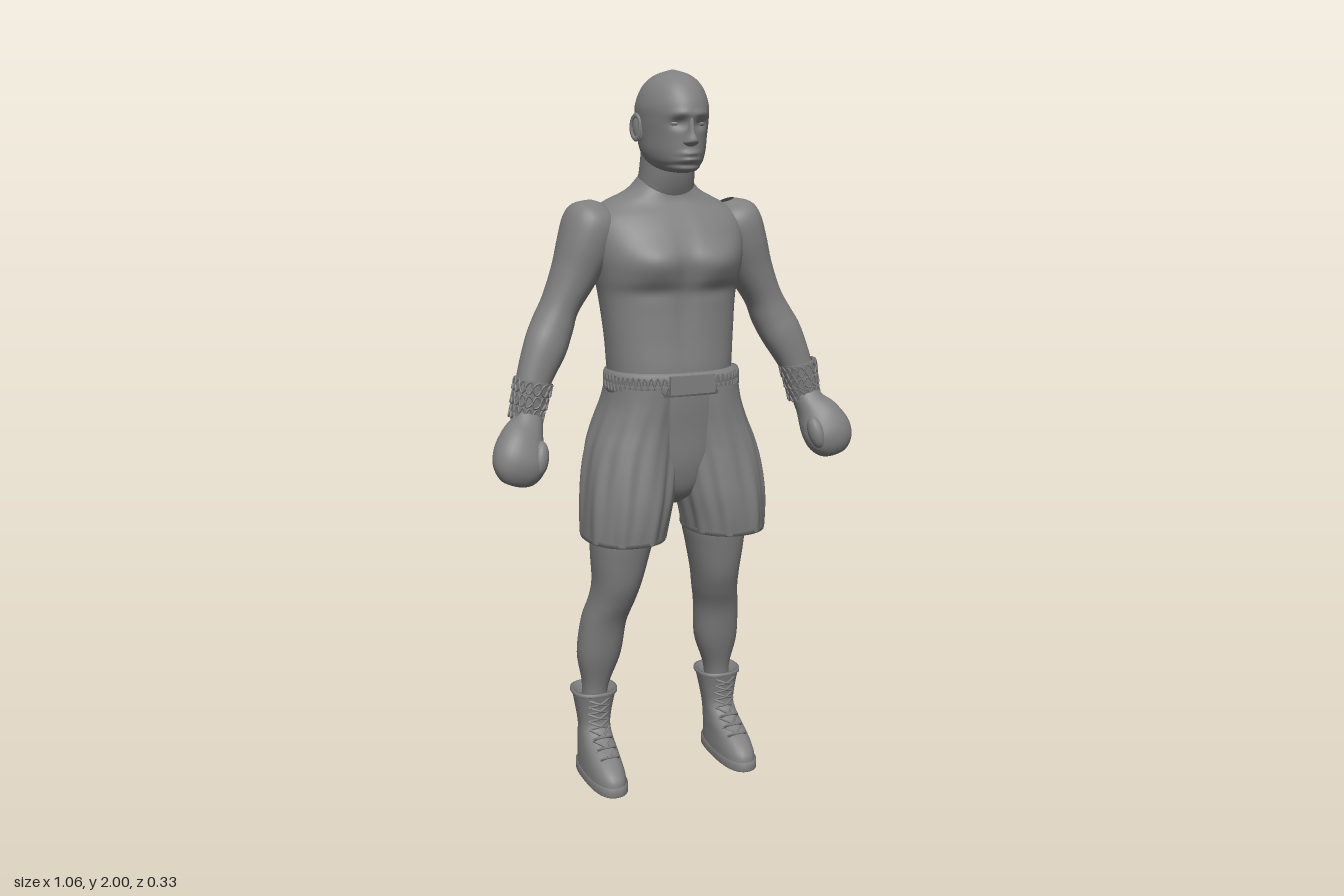
import * as THREE from 'three';

const grey = new THREE.MeshStandardMaterial({ color: 0x808080, side: THREE.DoubleSide });
grey.name = 'grey';

const bump = (v, c, w) => Math.exp(-(((v - c) / w) ** 2));
const spow = (v, n) => Math.sign(v) * Math.abs(v) ** (2 / n);

// Smooth blend through the rows of a ring table
function sample(rings, t) {
  const last = rings.length - 1, i = Math.min(Math.floor(t), last - 1), f = t - i;
  const at = (k) => rings[Math.max(0, Math.min(last, k))];
  const [a, b, c, d] = [at(i - 1), at(i), at(i + 1), at(i + 2)];
  return b.map((p, k) => p + 0.5 * f * (c[k] - a[k] + f * (2 * a[k] - 5 * p + 4 * c[k] - d[k]
    + f * (3 * (p - c[k]) + d[k] - a[k]))));
}

// Skin over rings listed bottom to top: [y, centre x, centre z, half width, front z, back z]
function loft(rings, { seg = 32, steps = 5, n = 2.2, tilt = false, shape = null } = {}) {
  const pos = [], idx = [], rows = (rings.length - 1) * steps;
  for (let r = 0; r <= rows; r++) {
    const t = r / steps, [y, cx, cz, rx, zf, zb] = sample(rings, t);
    let ux = 1, uy = 0;
    if (tilt) {
      const a = sample(rings, Math.max(0, t - 0.3)), b = sample(rings, Math.min(rings.length - 1, t + 0.3));
      const l = Math.hypot(b[0] - a[0], b[1] - a[1]);
      ux = (b[0] - a[0]) / l;
      uy = -(b[1] - a[1]) / l;
    }
    for (let s = 0; s < seg; s++) {
      const th = (s / seg) * Math.PI * 2, u = rx * spow(Math.cos(th), n), sn = spow(Math.sin(th), n);
      const p = new THREE.Vector3(cx + u * ux, y + u * uy, cz + sn * (sn > 0 ? zf - cz : cz - zb));
      if (shape) shape(p, th, cx, cz);
      pos.push(p.x, p.y, p.z);
      if (r < rows) {
        const a = r * seg + s, b = r * seg + ((s + 1) % seg);
        idx.push(a, a + seg, b, b, a + seg, b + seg);
      }
    }
  }
  const g = new THREE.BufferGeometry();
  g.setAttribute('position', new THREE.Float32BufferAttribute(pos, 3));
  g.setIndex(idx);
  g.computeVertexNormals();
  return g;
}

function ellipsoid(x, y, z, rx, ry, rz, rot = [0, 0, 0]) {
  return new THREE.SphereGeometry(1, 20, 14).scale(rx, ry, rz)
    .rotateX(rot[0]).rotateY(rot[1]).rotateZ(rot[2]).translate(x, y, z);
}

function cord(points, r, closed = false) {
  const c = new THREE.CatmullRomCurve3(points.map((p) => new THREE.Vector3(...p)), closed);
  return new THREE.TubeGeometry(c, points.length * 3, r, 5, closed);
}

// Wavy cord running round a band
function weave(rx, zf, zb, y, amp, waves, phase, r) {
  const pts = [], cz = (zf + zb) / 2, rz = (zf - zb) / 2;
  for (let i = 0; i < waves * 4; i++) {
    const th = (i / (waves * 4)) * Math.PI * 2;
    pts.push([rx * spow(Math.cos(th), 2.3), y + amp * Math.sin((i * Math.PI) / 2 + phase), cz + rz * spow(Math.sin(th), 2.3)]);
  }
  return cord(pts, r, true);
}

export function createModel() {
  const model = new THREE.Group();
  model.name = 'boxer';
  const add = (name, geo) => {
    const m = new THREE.Mesh(geo, grey);
    m.name = name;
    model.add(m);
  };
  const pair = (name, geo) => {
    add(name + 'Left', geo);
    const g = geo.clone().scale(-1, 1, 1), a = g.index.array;
    for (let i = 0; i < a.length; i += 3) [a[i], a[i + 1]] = [a[i + 1], a[i]];
    g.computeVertexNormals();
    add(name + 'Right', g);
  };

  // Torso with chest muscles, belly line and spine groove
  add('torso', loft([
    [1.12, 0, -0.01, 0.165, 0.12, -0.11], [1.2, 0, -0.01, 0.175, 0.13, -0.11], [1.3, 0, -0.01, 0.182, 0.122, -0.122],
    [1.4, 0, -0.02, 0.192, 0.118, -0.142], [1.46, 0, -0.02, 0.203, 0.128, -0.152], [1.52, 0, -0.03, 0.215, 0.13, -0.16],
    [1.58, 0, -0.04, 0.222, 0.102, -0.164], [1.62, 0, -0.05, 0.212, 0.075, -0.16], [1.655, 0, -0.055, 0.17, 0.045, -0.145],
    [1.69, 0, -0.05, 0.1, 0.035, -0.122], [1.73, 0, -0.04, 0.065, 0.03, -0.1],
  ], {
    seg: 64, steps: 7, n: 2.35, shape: (p) => {
      const ax = Math.abs(p.x);
      if (p.z > 0.02) {
        p.z += 0.02 * bump(ax, 0.09, 0.07) * bump(p.y, 1.5, 0.05) - 0.01 * bump(ax, 0, 0.02) * bump(p.y, 1.45, 0.15);
        p.z -= 0.006 * bump(p.y, 1.425, 0.02) * bump(ax, 0.09, 0.08);
      } else if (p.z < -0.06) {
        p.z += 0.022 * bump(ax, 0, 0.035) * bump(p.y, 1.38, 0.25) - 0.008 * bump(ax, 0.11, 0.05) * bump(p.y, 1.56, 0.08);
      }
    },
  }));
  add('neck', loft([
    [1.63, 0, -0.05, 0.1, 0.01, -0.13], [1.68, 0, -0.035, 0.08, 0.04, -0.125], [1.73, 0, -0.02, 0.073, 0.058, -0.104],
    [1.79, 0, -0.01, 0.07, 0.065, -0.09], [1.85, 0, 0, 0.068, 0.06, -0.08],
  ]));

  // Head, with sockets, brow, cheeks and lips raised from the skull
  add('head', loft([
    [1.735, 0, 0.08, 0.015, 0.105, 0.06], [1.742, 0, 0.06, 0.045, 0.128, 0.02], [1.76, 0, 0.03, 0.068, 0.136, -0.03],
    [1.79, 0, 0.015, 0.082, 0.14, -0.068], [1.83, 0, 0.01, 0.088, 0.142, -0.088], [1.87, 0, 0.01, 0.092, 0.148, -0.094],
    [1.91, 0, 0.01, 0.093, 0.145, -0.092], [1.955, 0, 0.015, 0.077, 0.118, -0.073], [1.985, 0, 0.018, 0.046, 0.078, -0.038],
    [2, 0, 0.02, 0.003, 0.023, 0.017],
  ], {
    seg: 64, steps: 8, n: 2.15, shape: (p) => {
      const ax = Math.abs(p.x);
      if (p.z > 0.03) p.x *= 1 - 0.9 * (p.z - 0.03);
      if (p.z > 0.06) {
        p.z += -0.014 * bump(ax, 0.034, 0.02) * bump(p.y, 1.86, 0.014) + 0.006 * bump(p.y, 1.884, 0.01) * bump(ax, 0.03, 0.03)
          + 0.009 * bump(ax, 0, 0.026) * (bump(p.y, 1.784, 0.007) + bump(p.y, 1.768, 0.006)) - 0.004 * bump(p.y, 1.755, 0.006);
      }
    },
  }));
  add('nose', loft([
    [1.802, 0, 0.13, 0.008, 0.142, 0.12], [1.81, 0, 0.13, 0.021, 0.162, 0.12], [1.82, 0, 0.13, 0.019, 0.167, 0.12],
    [1.84, 0, 0.13, 0.011, 0.158, 0.12], [1.875, 0, 0.13, 0.009, 0.149, 0.12],
  ], { seg: 16, n: 2 }));
  pair('eye', ellipsoid(0.034, 1.86, 0.112, 0.017, 0.009, 0.015));
  pair('ear', ellipsoid(0.093, 1.85, 0.008, 0.009, 0.034, 0.019, [-0.2, -0.35, 0]));
  pair('earRim', new THREE.TorusGeometry(0.02, 0.005, 6, 20).scale(0.9, 1.5, 1).rotateY(Math.PI / 2 - 0.35).translate(0.099, 1.852, 0.006));

  // Arms from wrist to shoulder
  pair('arm', loft([
    [1.06, 0.428, 0.03, 0.036, 0.07, -0.01], [1.13, 0.412, 0.012, 0.04, 0.052, -0.032], [1.2, 0.392, 0, 0.047, 0.045, -0.05],
    [1.28, 0.355, -0.015, 0.058, 0.04, -0.07], [1.335, 0.328, -0.03, 0.056, 0.03, -0.092], [1.39, 0.303, -0.038, 0.051, 0.025, -0.098],
    [1.47, 0.262, -0.04, 0.062, 0.034, -0.11], [1.54, 0.233, -0.042, 0.072, 0.045, -0.122], [1.6, 0.212, -0.045, 0.074, 0.045, -0.128],
    [1.635, 0.2, -0.045, 0.06, 0.025, -0.11], [1.658, 0.192, -0.045, 0.02, -0.02, -0.07],
  ], { tilt: true }));

  // Wrist wraps with crossing cords
  const atWrist = (g) => g.rotateZ(0.24).translate(0.409, 1.145, 0.01);
  pair('wristWrap', atWrist(loft([
    [-0.055, 0, 0, 0.036, 0.04, -0.04], [-0.054, 0, 0, 0.042, 0.047, -0.047], [0.054, 0, 0, 0.051, 0.053, -0.053], [0.055, 0, 0, 0.044, 0.046, -0.046],
  ], { steps: 1 })));
  for (const [i, y] of [-0.036, 0, 0.036].entries()) {
    for (const ph of [0, Math.PI]) {
      const r = 0.047 + y * 0.08;
      pair('wristCord', atWrist(weave(r, r + 0.004, -r - 0.004, y, 0.018, 8, ph + i, 0.003)));
    }
  }

  // Gloves
  pair('glove', loft([
    [0.933, 0.474, 0.088, 0.008, 0.096, 0.08], [0.942, 0.472, 0.088, 0.042, 0.118, 0.058], [0.972, 0.466, 0.084, 0.066, 0.133, 0.034],
    [1.01, 0.458, 0.075, 0.071, 0.133, 0.016], [1.05, 0.443, 0.058, 0.06, 0.114, 0.002], [1.085, 0.425, 0.038, 0.043, 0.084, -0.01],
    [1.115, 0.415, 0.02, 0.036, 0.06, -0.02],
  ], { tilt: true, steps: 6, n: 2.3 }));
  pair('gloveThumb', ellipsoid(0.412, 1.005, 0.102, 0.023, 0.047, 0.027, [-0.25, 0, 0.2]));

  // Shorts: hips and two loose folded legs
  add('shortsHips', loft([
    [0.83, 0, 0.01, 0.02, 0.05, -0.03], [0.87, 0, 0.01, 0.07, 0.1, -0.075], [0.95, 0, 0.01, 0.14, 0.126, -0.11],
    [1.05, 0, 0.01, 0.18, 0.135, -0.13], [1.12, 0, 0.01, 0.182, 0.142, -0.128], [1.18, 0, 0.01, 0.178, 0.145, -0.12],
  ], { seg: 48 }));
  pair('shortsLeg', loft([
    [0.748, 0.152, 0.025, 0.111, 0.158, -0.108], [0.8, 0.147, 0.025, 0.117, 0.163, -0.108], [0.86, 0.139, 0.025, 0.123, 0.163, -0.114],
    [0.93, 0.13, 0.02, 0.124, 0.156, -0.13], [1, 0.119, 0.015, 0.119, 0.148, -0.15], [1.06, 0.106, 0.01, 0.109, 0.144, -0.155],
    [1.12, 0.095, 0.01, 0.098, 0.145, -0.138], [1.17, 0.09, 0.01, 0.093, 0.146, -0.12],
  ], {
    seg: 96, steps: 6, shape: (p, th, cx, cz) => {
      const k = Math.min(1, Math.max(0, (1.16 - p.y) / 0.2));
      const f = 1 + k * (0.026 * Math.sin(9 * th + 5 * p.y) + 0.016 * Math.sin(17 * th - 7 * p.y));
      p.x = cx + (p.x - cx) * f;
      p.z = cz + (p.z - cz) * f;
    },
  }));
  pair('shortsHem', loft([
    [0.77, 0.151, 0.025, 0.099, 0.144, -0.096], [0.745, 0.152, 0.025, 0.103, 0.15, -0.102],
    [0.745, 0.152, 0.025, 0.113, 0.161, -0.111], [0.758, 0.152, 0.025, 0.113, 0.161, -0.111],
  ], { seg: 48, steps: 1 }));

  // Waistband with ribs, cords and front plate
  add('waistband', loft([
    [1.148, 0, 0.012, 0.175, 0.14, -0.12], [1.15, 0, 0.012, 0.186, 0.154, -0.13], [1.178, 0, 0.012, 0.188, 0.156, -0.13],
    [1.18, 0, 0.012, 0.184, 0.152, -0.126], [1.183, 0, 0.012, 0.188, 0.156, -0.13], [1.208, 0, 0.012, 0.187, 0.155, -0.13],
    [1.21, 0, 0.012, 0.168, 0.125, -0.105],
  ], { seg: 64, steps: 1, n: 2.3 }));
  for (const ph of [0, Math.PI]) add('waistCord', weave(0.187, 0.155, -0.13, 1.18, 0.022, 30, ph, 0.003));
  add('waistPlate', new THREE.BoxGeometry(0.13, 0.05, 0.012).translate(0, 1.182, 0.157));

  // Legs
  pair('leg', loft([
    [0.2, 0.2, -0.1, 0.036, -0.06, -0.14], [0.27, 0.195, -0.097, 0.038, -0.053, -0.142], [0.365, 0.187, -0.085, 0.062, -0.024, -0.156],
    [0.47, 0.178, -0.065, 0.063, 0.002, -0.145], [0.54, 0.162, -0.045, 0.064, 0.034, -0.118], [0.6, 0.153, -0.025, 0.068, 0.058, -0.108],
    [0.68, 0.147, -0.015, 0.081, 0.075, -0.104], [0.76, 0.14, -0.008, 0.092, 0.087, -0.102], [0.92, 0.13, 0, 0.1, 0.1, -0.1],
  ]));

  // Boots: upper, rolled collar, sole
  pair('boot', loft([
    [0.02, 0.205, -0.02, 0.052, 0.108, -0.162], [0.045, 0.205, -0.025, 0.051, 0.102, -0.161], [0.07, 0.205, -0.04, 0.049, 0.076, -0.159],
    [0.095, 0.204, -0.06, 0.047, 0.034, -0.157], [0.118, 0.203, -0.08, 0.045, -0.008, -0.155], [0.15, 0.201, -0.095, 0.045, -0.045, -0.153],
    [0.2, 0.2, -0.1, 0.053, -0.046, -0.157], [0.253, 0.199, -0.1, 0.064, -0.037, -0.164],
  ], { n: 2.4 }));
  pair('bootCollar', loft([
    [0.244, 0.199, -0.1, 0.064, -0.038, -0.163], [0.246, 0.199, -0.1, 0.067, -0.035, -0.166], [0.255, 0.199, -0.1, 0.067, -0.035, -0.166],
    [0.256, 0.199, -0.1, 0.06, -0.042, -0.159], [0.225, 0.198, -0.1, 0.036, -0.064, -0.136],
  ], { steps: 1, n: 2.4 }));
  pair('bootSole', loft([
    [0, 0.205, -0.027, 0.002, -0.025, -0.029], [0, 0.205, -0.027, 0.052, 0.11, -0.164], [0.004, 0.205, -0.027, 0.055, 0.114, -0.167],
    [0.024, 0.205, -0.027, 0.055, 0.114, -0.167], [0.028, 0.205, -0.027, 0.05, 0.106, -0.16],
  ], { steps: 1, n: 2.5, seg: 40 }));

  // Laces crossing up the boot front, with a bow at the instep
  const rows = [[0.085, 0.045], [0.102, 0.016], [0.122, -0.012], [0.145, -0.038], [0.167, -0.043], [0.19, -0.043], [0.213, -0.04], [0.235, -0.036]];
  for (let i = 0; i < rows.length - 1; i++) {
    const [y0, z0] = rows[i], [y1, z1] = rows[i + 1];
    for (const s of [-1, 1]) {
      pair('lace', cord([[0.202 - s * 0.03, y0, z0 - 0.012], [0.202, (y0 + y1) / 2, (z0 + z1) / 2 + 0.004], [0.202 + s * 0.03, y1, z1 - 0.01]], 0.0035));
    }
  }
  for (const [y, z] of rows.slice(0, 3)) {
    pair('laceLoop', cord([[0.175, y, z - 0.01], [0.185, y + 0.016, z + 0.012], [0.219, y + 0.016, z + 0.012], [0.229, y, z - 0.01]], 0.0035));
  }
  return model;
}
